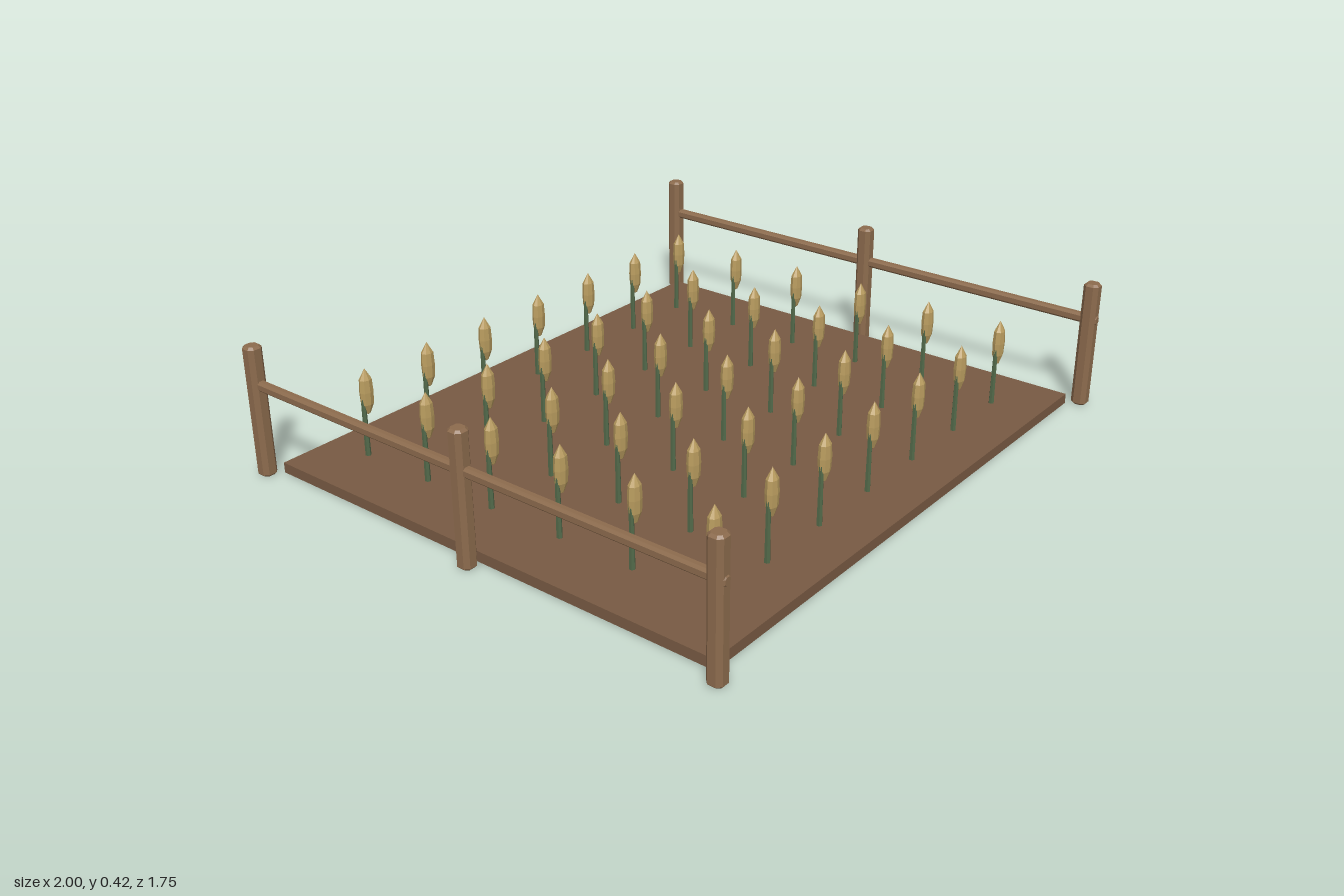
import * as THREE from 'three';

const flat = (name, color) => {
  const m = new THREE.MeshStandardMaterial({ color, flatShading: true });
  m.name = name;
  return m;
};

// Octagonal timber with bevelled ends, standing along y and centred
function timber(width, depth, length, cut) {
  const b = cut * 0.6;
  const x = width / 2 - b, z = depth / 2 - b, c = cut * 0.7;
  const shape = new THREE.Shape([
    [x - c, -z], [x, c - z], [x, z - c], [x - c, z],
    [c - x, z], [-x, z - c], [-x, c - z], [c - x, -z],
  ].map(([px, py]) => new THREE.Vector2(px, py)));
  const g = new THREE.ExtrudeGeometry(shape, {
    depth: length - 2 * b, bevelEnabled: true, bevelSize: b, bevelThickness: b, bevelSegments: 1,
  });
  g.translate(0, 0, b - length / 2);
  return g.rotateX(-Math.PI / 2);
}

export function createModel() {
  const model = new THREE.Group();
  model.name = 'cropField';
  const soil = flat('soil', 0x785a43);
  const wood = flat('wood', 0x8c6b4d);
  const green = flat('stalkGreen', 0x52694a);
  const grain = flat('grain', 0xb99c5f);

  const add = (parent, name, geometry, material, x, y, z) => {
    const mesh = new THREE.Mesh(geometry, material);
    mesh.name = name;
    mesh.position.set(x, y, z);
    parent.add(mesh);
    return mesh;
  };

  // Soil bed
  add(model, 'soilBed', new THREE.BoxGeometry(1.88, 0.033, 1.62), soil, 0, 0.0175, 0);

  // Fences on both sides: three posts and one rail
  const postGeo = timber(0.05, 0.05, 0.42, 0.012);
  const railGeo = timber(0.028, 0.031, 1.746, 0.007).rotateX(Math.PI / 2);
  for (const side of [-1, 1]) {
    const fence = new THREE.Group();
    fence.name = side > 0 ? 'leftFence' : 'rightFence';
    for (const z of [-0.845, 0, 0.845]) add(fence, 'fencePost', postGeo, wood, side * 0.975, 0.21, z);
    add(fence, 'fenceRail', railGeo, wood, side * 0.975, 0.297, 0);
    model.add(fence);
  }

  // Crop plants: thin stalk with a pointed ear set slightly to its left
  const stalkGeo = new THREE.CylinderGeometry(0.007, 0.009, 0.19, 6);
  const earGeo = new THREE.LatheGeometry([
    [0, 0.165], [0.008, 0.17], [0.021, 0.2], [0.0235, 0.24], [0.021, 0.28], [0, 0.315],
  ].map(([r, y]) => new THREE.Vector2(r, y)), 8);
  earGeo.scale(1, 1, 0.78);
  for (let row = 0; row < 6; row++) {
    for (let col = 0; col < 7; col++) {
      const plant = new THREE.Group();
      plant.name = 'plant';
      plant.position.set(-0.75 + col * 0.247, 0, -0.65 + row * 0.26);
      add(plant, 'stalk', stalkGeo, green, 0, 0.125, 0);
      add(plant, 'ear', earGeo, grain, 0.015, 0, 0);
      model.add(plant);
    }
  }
  return model;
}
